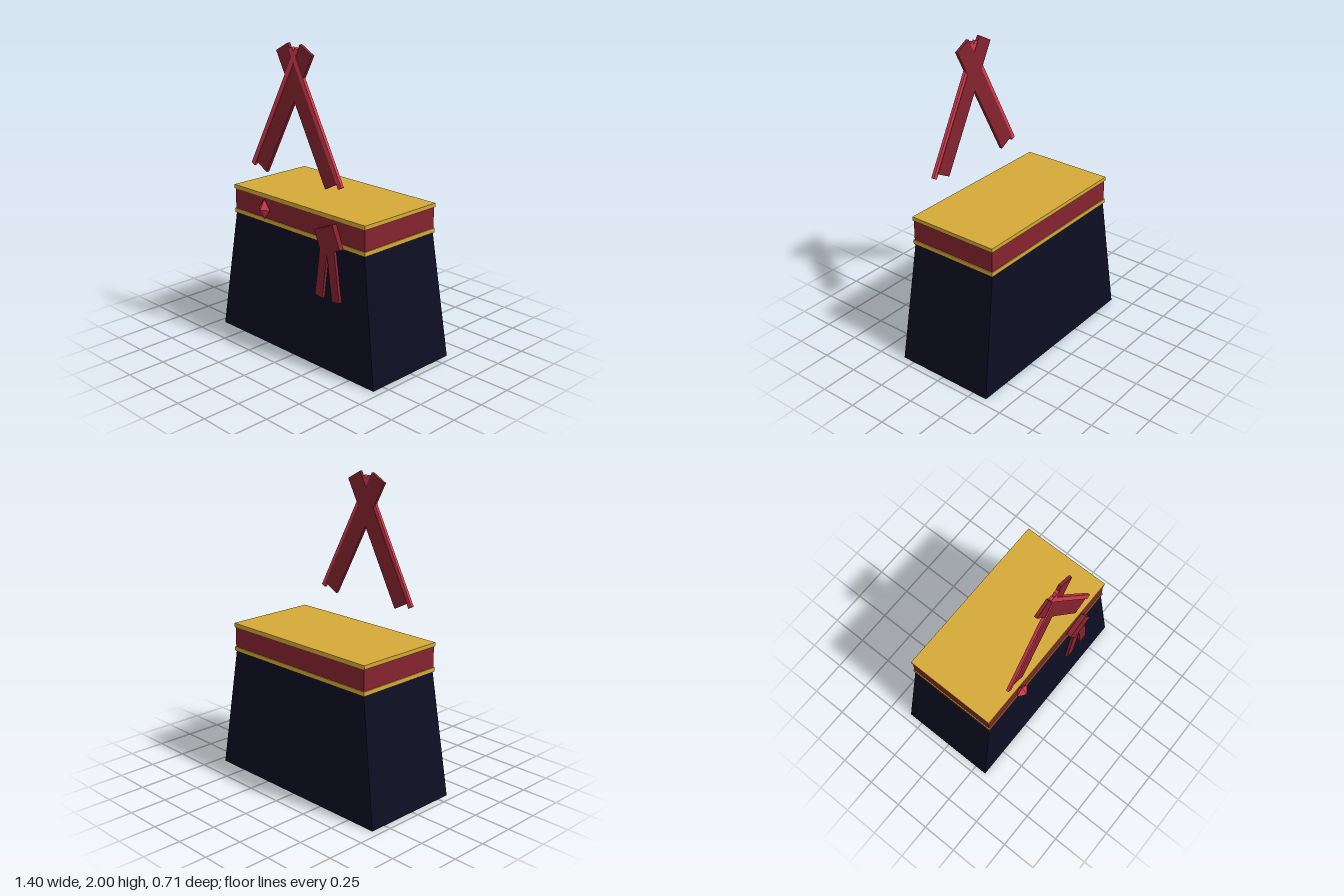
import * as THREE from 'three';

const mat = (name, color) => {
  const m = new THREE.MeshStandardMaterial({ color });
  m.name = name;
  return m;
};

export function createModel() {
  const navy = mat('navy', 0x0e0e24);
  const gold = mat('gold', 0xd4aa37);
  const darkRed = mat('dark red', 0x86232f);
  const brightRed = mat('bright red', 0xd63c4e);

  const model = new THREE.Group();
  model.name = 'skirtWithSash';
  const BODY_Z = -0.01;

  const add = (name, geometry, material, x, y, z, tilt = 0, parent = model) => {
    const mesh = new THREE.Mesh(geometry, material);
    mesh.name = name;
    mesh.position.set(x, y, z);
    mesh.rotation.z = tilt;
    parent.add(mesh);
    return mesh;
  };
  const box = (name, w, h, d, ...rest) => add(name, new THREE.BoxGeometry(w, h, d), ...rest);

  // Skirt: a box narrowed towards the waist
  const skirt = new THREE.BoxGeometry(1.404, 0.83, 0.688);
  const p = skirt.attributes.position;
  for (let i = 0; i < p.count; i++) {
    if (p.getY(i) > 0) {
      p.setX(i, p.getX(i) * 0.83);
      p.setZ(i, p.getZ(i) * 0.892);
    }
  }
  skirt.computeVertexNormals();
  add('skirt', skirt, navy, 0, 0.415, BODY_Z);

  // Waist sash with gold trims
  box('sash', 1.174, 0.17, 0.618, darkRed, 0, 0.915, BODY_Z);
  box('upperTrim', 1.186, 0.026, 0.628, gold, 0, 0.998, BODY_Z);
  box('lowerTrim', 1.186, 0.028, 0.628, gold, 0, 0.834, BODY_Z);

  // Crossed collar: a wide band with a bright piping on its outer edge
  for (const side of [-1, 1]) {
    const lapel = new THREE.Group();
    lapel.name = side < 0 ? 'rightLapel' : 'leftLapel';
    lapel.position.set(side * 0.106, 1.581, 0.297);
    lapel.rotation.z = side * 0.492;
    model.add(lapel);
    box('collarBand', 0.118, 0.888, 0.02, darkRed, 0, 0, 0, 0, lapel);
    box('collarPiping', 0.032, 0.885, 0.02, brightRed, side * 0.067, -0.035, 0.003, 0, lapel);
  }

  // Sash bow: tilted knot with two tails
  box('bowKnot', 0.168, 0.16, 0.034, darkRed, 0.307, 0.861, 0.319, 0.4);
  for (const side of [-1, 1]) {
    box('bowTail', 0.065, 0.35, 0.02, darkRed, 0.306 + side * 0.049, 0.649, 0.324, side * 0.139);
  }

  // Gem on the sash
  const gem = add('gem', new THREE.OctahedronGeometry(1), brightRed, -0.28, 0.915, 0.318);
  gem.scale.set(0.053, 0.067, 0.038);

  return model;
}
